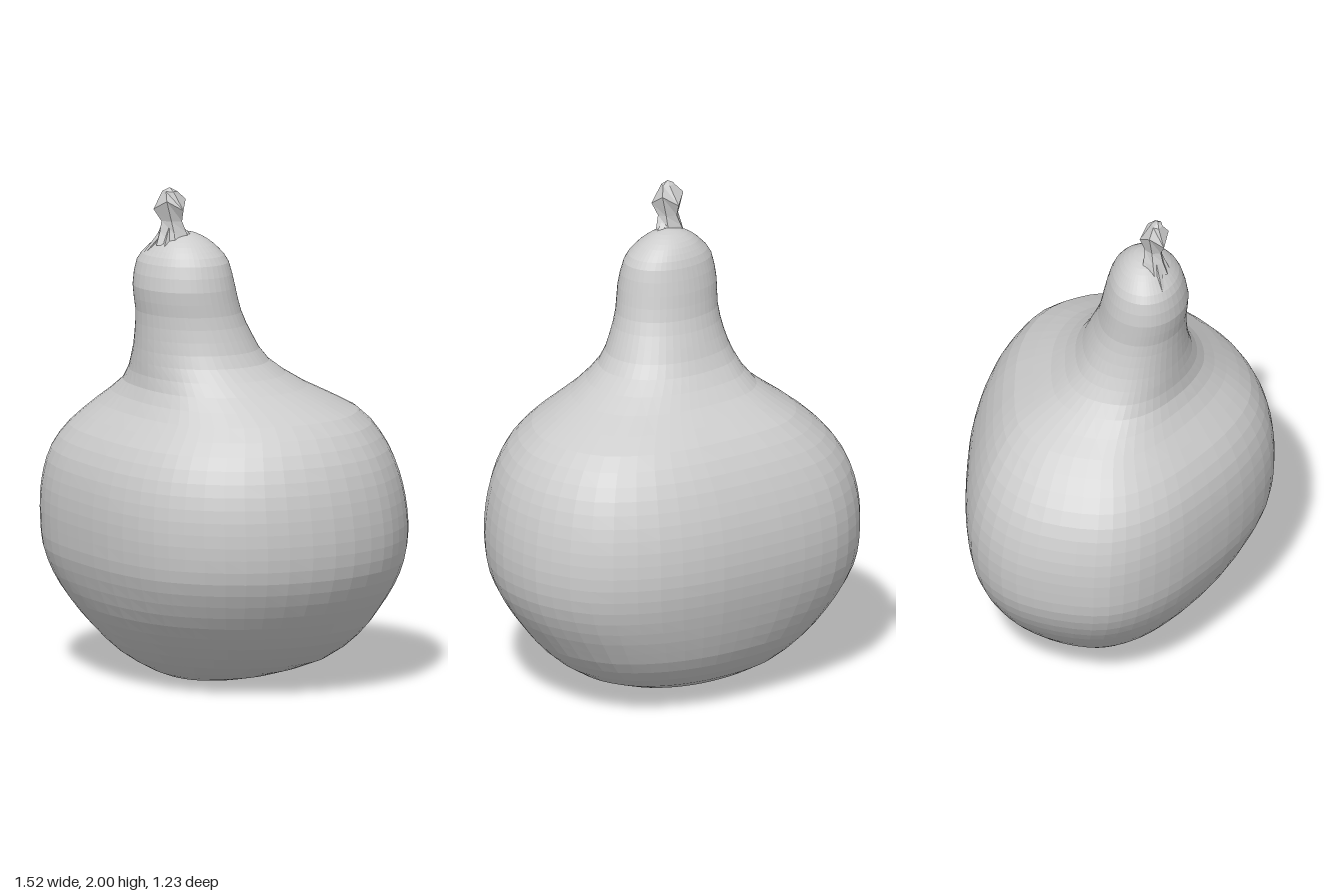
import * as THREE from 'three';

const gourdGrey = new THREE.MeshStandardMaterial({ color: 0xcccccc, flatShading: true });
gourdGrey.name = 'gourd grey';

// Skin over a stack of closed rings that all have the same number of points
function loft(rings) {
  const n = rings[0].length, pos = [], index = [];
  rings.forEach((r) => r.forEach((p) => pos.push(p.x, p.y, p.z)));
  for (let i = 0; i < rings.length - 1; i++) {
    for (let j = 0; j < n; j++) {
      const a = i * n + j, b = i * n + (j + 1) % n;
      index.push(a, b, a + n, b, b + n, a + n);
    }
  }
  const g = new THREE.BufferGeometry();
  g.setAttribute('position', new THREE.Float32BufferAttribute(pos, 3));
  g.setIndex(index);
  g.computeVertexNormals();
  return g;
}

// Lopsided outline of the belly, seen from above: [x, z]
const OUTLINE = [
  [-0.762, -0.13], [-0.735, 0.02], [-0.64, 0.175], [-0.5, 0.315], [-0.3, 0.475], [-0.1, 0.583],
  [0.07, 0.616], [0.27, 0.59], [0.46, 0.495], [0.635, 0.325], [0.735, 0.13], [0.758, -0.03],
  [0.732, -0.2], [0.633, -0.385], [0.44, -0.515], [0.22, -0.583], [0, -0.61], [-0.25, -0.62],
  [-0.46, -0.593], [-0.62, -0.49], [-0.715, -0.33],
];

// Extent of the gourd by height: [y, xMin, xMax, zMin, zMax]
const EXTENT = [
  [0, -0.08, -0.08, -0.04, -0.04], [0.008, -0.2, 0.06, -0.17, 0.07],
  [0.03, -0.3, 0.21, -0.27, 0.15], [0.1, -0.44, 0.42, -0.405, 0.275],
  [0.2, -0.555, 0.555, -0.5, 0.395], [0.3, -0.645, 0.635, -0.548, 0.485],
  [0.4, -0.712, 0.7, -0.58, 0.55], [0.5, -0.75, 0.742, -0.603, 0.595],
  [0.6, -0.76, 0.757, -0.614, 0.612], [0.7, -0.76, 0.754, -0.61, 0.615],
  [0.8, -0.745, 0.738, -0.592, 0.605], [0.9, -0.71, 0.708, -0.558, 0.577],
  [1, -0.635, 0.655, -0.505, 0.522], [1.1, -0.52, 0.56, -0.42, 0.425],
  [1.2, -0.395, 0.365, -0.275, 0.335], [1.3, -0.345, 0.22, -0.18, 0.285],
  [1.4, -0.32, 0.16, -0.13, 0.265], [1.5, -0.31, 0.12, -0.09, 0.26],
  [1.6, -0.317, 0.1, -0.07, 0.268], [1.7, -0.3, 0.075, -0.045, 0.245],
  [1.75, -0.26, 0.035, -0.02, 0.215], [1.785, -0.22, -0.01, 0.01, 0.18],
  [1.81, -0.17, -0.06, 0.05, 0.14], [1.82, -0.115, -0.115, 0.095, 0.095],
];

function gourdGeometry() {
  const SIDES = 52, STEPS = 46;
  const curve = (pts, closed) => new THREE.CatmullRomCurve3(pts, closed, 'catmullrom', 0.5);
  const outline = curve(OUTLINE.map(([x, z]) => new THREE.Vector3(x / 0.76, 0, z / 0.6175)), true);
  const xs = curve(EXTENT.map(([y, a, b]) => new THREE.Vector3(a, y, b)), false);
  const zs = curve(EXTENT.map(([y, , , a, b]) => new THREE.Vector3(a, y, b)), false);
  const rings = [];
  for (let i = 0; i <= STEPS; i++) {
    const ex = xs.getPoint(i / STEPS), ez = zs.getPoint(i / STEPS);
    // Belly keeps the lopsided outline, the neck and the base turn rounder
    const round = 0.8 * THREE.MathUtils.smoothstep(ex.y, 1.1, 1.45)
      + 0.55 * (1 - THREE.MathUtils.smoothstep(ex.y, 0, 0.5));
    const ring = [];
    for (let j = 0; j < SIDES; j++) {
      const p = outline.getPoint(j / SIDES);
      p.lerp(p.clone().normalize(), round);
      ring.push(new THREE.Vector3(
        (ex.x + ex.z) / 2 + p.x * (ex.z - ex.x) / 2,
        Math.max(0, ex.y),
        (ez.x + ez.z) / 2 + p.z * (ez.z - ez.x) / 2,
      ));
    }
    rings.push(ring);
  }
  return loft(rings);
}

// Knobbly six-sided stalk: [y, centre x, centre z, radius x, radius z, twist]
function stemGeometry() {
  const rows = [
    [1.77, -0.15, 0.13, 0.085, 0.06, 0], [1.82, -0.147, 0.128, 0.064, 0.045, 0.1],
    [1.865, -0.145, 0.13, 0.048, 0.038, 0.3], [1.925, -0.148, 0.135, 0.072, 0.062, 0.5],
    [1.985, -0.15, 0.142, 0.03, 0.022, 0.8], [2, -0.15, 0.145, 0, 0, 0.8],
  ];
  return loft(rows.map(([y, cx, cz, rx, rz, twist], i) => Array.from({ length: 6 }, (_, j) => {
    const a = -j * Math.PI / 3 + twist;
    const bump = i < 4 && j % 2 ? 0.85 : 1;
    const drop = i === 3 ? (j % 2 ? 0.025 : -0.012) : 0;
    return new THREE.Vector3(cx + Math.cos(a) * rx * bump, y + drop, cz + Math.sin(a) * rz * bump);
  })));
}

// Tapered ridge from the stalk down onto the neck
function ridge(from, to) {
  const a = new THREE.Vector3(...from), b = new THREE.Vector3(...to);
  const dir = a.clone().sub(b);
  const mesh = new THREE.Mesh(new THREE.CylinderGeometry(0.024, 0.008, dir.length(), 4), gourdGrey);
  mesh.position.copy(a).add(b).multiplyScalar(0.5);
  mesh.quaternion.setFromUnitVectors(new THREE.Vector3(0, 1, 0), dir.normalize());
  mesh.name = 'stemRidge';
  return mesh;
}

export function createModel() {
  const model = new THREE.Group();
  model.name = 'gourd';

  const body = new THREE.Mesh(gourdGeometry(), gourdGrey);
  body.name = 'gourdBody';

  const stem = new THREE.Group();
  stem.name = 'stem';
  const stalk = new THREE.Mesh(stemGeometry(), gourdGrey);
  stalk.name = 'stalk';
  stem.add(stalk);
  const top = [-0.145, 1.85, 0.13];
  [[-0.25, 1.725, 0.16], [-0.155, 1.765, 0.185], [-0.07, 1.795, 0.11]]
    .forEach((end) => stem.add(ridge(top, end)));

  model.add(body, stem);
  return model;
}
